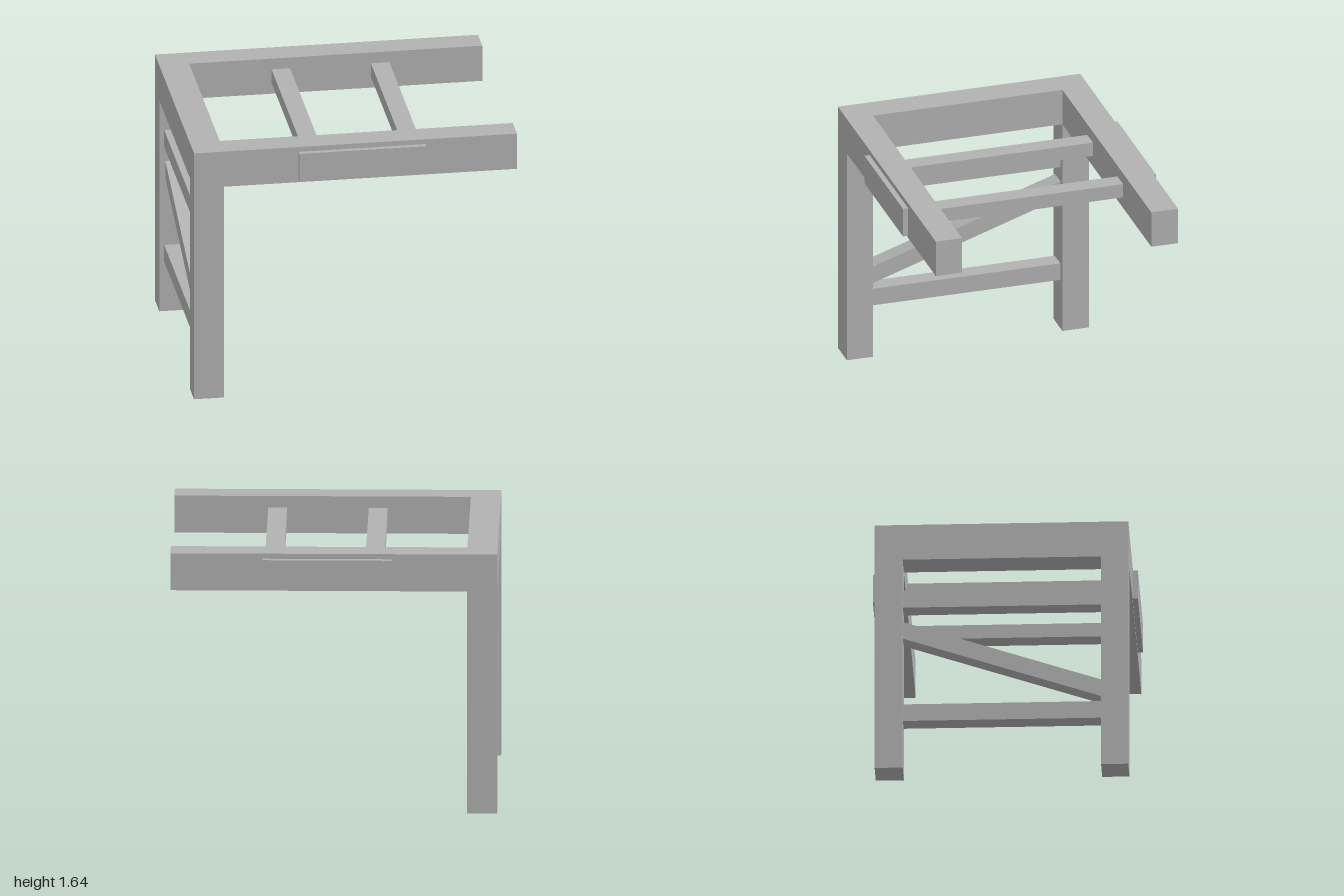
import * as THREE from 'three';

export function createModel() {
  const model = new THREE.Group();
  model.name = 'timberFrame';
  const grey = new THREE.MeshStandardMaterial({ color: 0xb2b2b2 });
  grey.name = 'plainGrey';

  function add(name, geometry) {
    const mesh = new THREE.Mesh(geometry, grey);
    mesh.name = name;
    model.add(mesh);
    return mesh;
  }

  // Box given by its extents along each axis
  function block(name, [x0, x1], [y0, y1], [z0, z1]) {
    const mesh = add(name, new THREE.BoxGeometry(x1 - x0, y1 - y0, z1 - z0));
    mesh.position.set((x0 + x1) / 2, (y0 + y1) / 2, (z0 + z1) / 2);
    return mesh;
  }

  const top = 1.637, under = 1.403, legInner = -0.815;
  const frontInner = 0.61, backInner = -0.605, outer = 0.777;
  const span = [backInner, frontInner];

  // Side frames: leg and cantilevered beam in one L-shaped piece
  const side = new THREE.Shape([
    [-1, 0], [legInner, 0], [legInner, under], [1, under], [1, top], [-1, top],
  ].map(([x, y]) => new THREE.Vector2(x, y)));
  for (const [name, z0, z1] of [
    ['frontSideFrame', frontInner, outer],
    ['backSideFrame', -outer, backInner],
  ]) {
    const geometry = new THREE.ExtrudeGeometry(side, { depth: z1 - z0, bevelEnabled: false });
    add(name, geometry.translate(0, 0, z0));
  }

  // Cross beam joining the two side frames above the legs
  block('crossBeam', [-1, legInner], [under, top], span);

  // Rungs between the beams
  block('topRungInner', [-0.305, -0.19], [1.475, 1.565], span);
  block('topRungOuter', [0.31, 0.425], [1.475, 1.565], span);

  // Rungs between the legs
  const rungX = [-0.97, -0.857];
  block('lowerLegRung', rungX, [0.328, 0.44], span);
  block('upperLegRung', rungX, [1.093, 1.205], span);

  // Diagonal brace: a straight rung sheared along its length
  const brace = block('diagonalBrace', [-0.963, -0.853], [0.682, 0.794], span);
  const shear = new THREE.Matrix4().set(
    1, 0, 0, 0,
    0, 1, -0.41 / (frontInner - backInner), 0,
    0, 0, 1, 0,
    0, 0, 0, 1,
  );
  brace.geometry.applyMatrix4(shear);

  // Raised panels on the outside of both beams
  block('frontPanel', [-0.353, 0.435], [1.418, 1.605], [outer, 0.81]);
  block('backPanel', [-0.353, 0.435], [1.418, 1.605], [-0.813, -outer]);

  return model;
}
